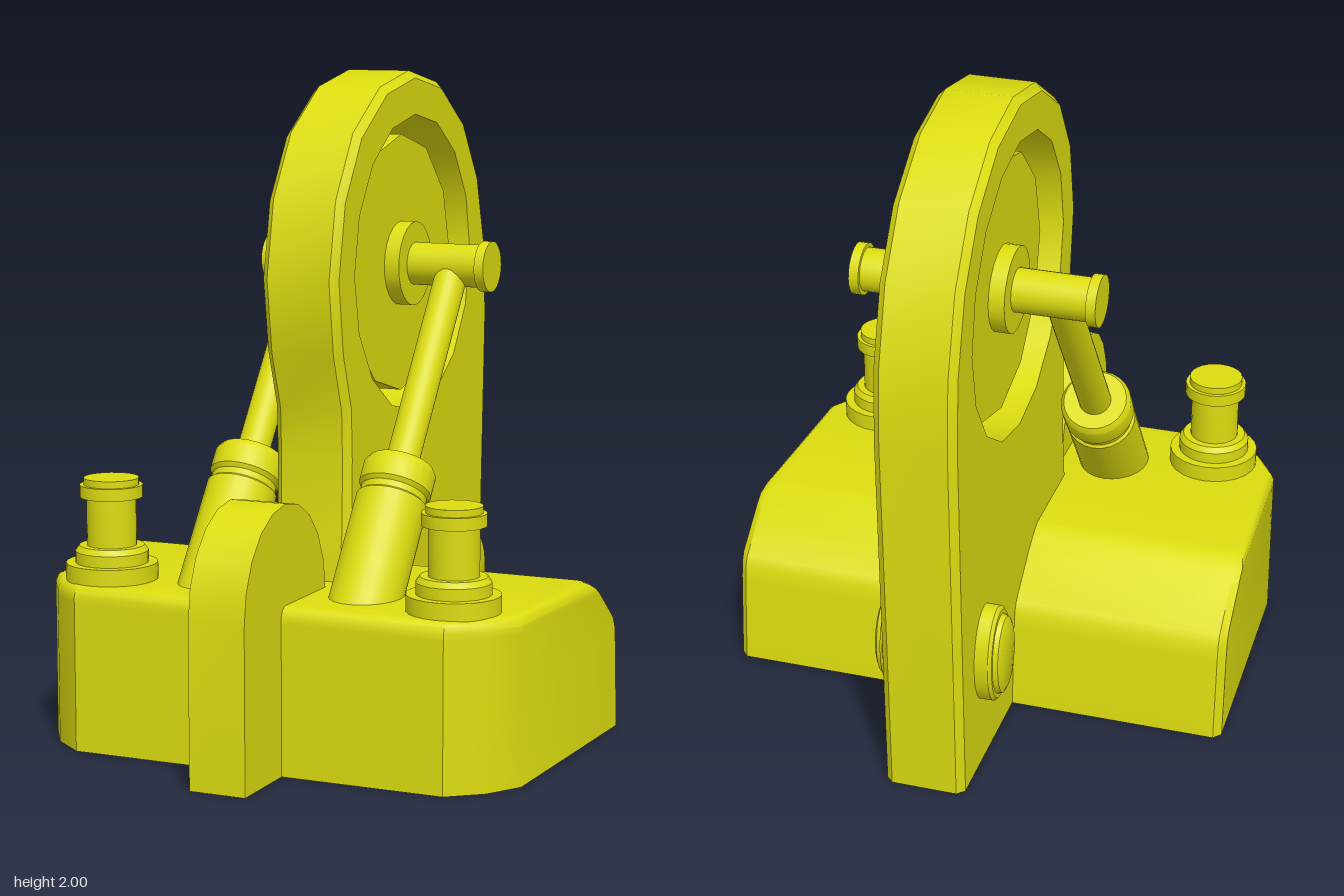
import * as THREE from 'three';
import { mergeGeometries, toCreasedNormals } from 'three/addons/utils/BufferGeometryUtils.js';

const yellow = new THREE.MeshStandardMaterial({ color: 0xdcdc10, side: THREE.DoubleSide });
yellow.name = 'yellow';

function add(parent, name, geometry) {
  const mesh = new THREE.Mesh(geometry, yellow);
  mesh.name = name;
  parent.add(mesh);
  return mesh;
}

// Joins cross-section rings with quads
function loft(rings, closed) {
  const pos = [];
  const n = rings[0].length;
  for (let i = 0; i < rings.length - 1; i++) {
    for (let j = 0; j < (closed ? n : n - 1); j++) {
      const k = (j + 1) % n;
      const a = rings[i][j], b = rings[i][k], c = rings[i + 1][k], d = rings[i + 1][j];
      pos.push(...a, ...b, ...d, ...b, ...c, ...d);
    }
  }
  const g = new THREE.BufferGeometry();
  g.setAttribute('position', new THREE.Float32BufferAttribute(pos, 3));
  return g;
}

const flat = (pts) => pts.map(([a, b]) => new THREE.Vector2(a, b));

function face(points, hole) {
  const shape = new THREE.Shape(flat(points));
  if (hole) shape.holes.push(new THREE.Path(flat(hole)));
  return new THREE.ShapeGeometry(shape);
}

function join(parts, crease = 0.6) {
  const bare = parts.map((p) => {
    const g = p.index ? p.toNonIndexed() : p;
    g.deleteAttribute('normal');
    g.deleteAttribute('uv');
    return g;
  });
  return toCreasedNormals(mergeGeometries(bare), crease);
}

// Moves an open outline of [z, y] points inwards
function inset(pts, d) {
  return pts.map(([z, y], i) => {
    const p = pts[Math.max(i - 1, 0)], q = pts[Math.min(i + 1, pts.length - 1)];
    const dz = q[0] - p[0], dy = q[1] - p[1], l = Math.hypot(dz, dy);
    return [z + (d * dy) / l, y === 0 ? 0 : y - (d * dz) / l];
  });
}

// Upright slab with an open foot, chamfered rim and optional hole
function slab(outline, half, chamfer, hole) {
  const inner = chamfer ? inset(outline, chamfer) : outline;
  const at = (pts, x) => pts.map(([z, y]) => [x, y, z]);
  const rings = [at(inner, -half), at(outline, -half + chamfer),
    at(outline, half - chamfer), at(inner, half)];
  const parts = [loft(chamfer ? rings : [rings[0], rings[3]], false)];
  for (const s of [-1, 1]) {
    const cap = face(inner, hole);
    if (s > 0) cap.index.array.reverse();
    parts.push(cap.rotateY(-Math.PI / 2).translate(s * half, 0, 0));
  }
  if (hole) parts.push(loft([at(hole, -half), at(hole, half)], true));
  return join(parts);
}

// Base footprint ring at height y
function footprint(y, back, d) {
  const right = [[0.59, 0.643 - d], [0.69 - d * 0.7, 0.565 - d * 0.7], [0.757 - d, 0.46],
    [0.782 - d, back + 0.025], [0.76 - d, back]];
  const left = right.map(([x, z]) => [-x, z]).reverse();
  return [...right, ...left].map(([x, z]) => [x, y, z]);
}

function lathe(profile, segments = 24) {
  const g = new THREE.LatheGeometry(flat(profile), segments);
  return toCreasedNormals(g, 0.6);
}

export function createModel() {
  const model = new THREE.Group();
  model.name = 'pistonStand';

  // Base block with sloping back and softened top edge
  const levels = [[0, -0.326, 0], [0.27, -0.306, 0], [0.32, -0.299, 0], [0.35, -0.283, 0],
    [0.45, -0.155, 0], [0.47, -0.122, 0], [0.488, -0.09, 0.008], [0.497, -0.07, 0.018], [0.5, -0.06, 0.03]];
  const rings = levels.map((l) => footprint(...l));
  const lid = face(rings.at(-1).map(([x, , z]) => [x, -z])).rotateX(-Math.PI / 2).translate(0, 0.5, 0);
  add(model, 'base', join([loft(rings, true), lid]));

  // Tall rounded plate with a round opening
  const plate = [[-0.825, 0], [-0.873, 1.18], [-0.862, 1.406], [-0.793, 1.645], [-0.666, 1.83],
    [-0.475, 1.957], [-0.252, 2], [-0.03, 1.957], [0.167, 1.83], [0.29, 1.64], [0.337, 1.406],
    [0.305, 1.183], [0.247, 1.013], [0.241, 0.865], [0.245, 0.65], [0.265, 0.5], [0.265, 0]];
  const hole = [];
  for (let i = 0; i < 16; i++) {
    const a = (i / 16) * Math.PI * 2;
    hole.push([-0.255 + 0.457 * Math.cos(a), 1.41 + 0.457 * Math.sin(a)]);
  }
  add(model, 'plate', slab(plate, 0.122, 0.022, hole));

  // Arched front rib
  const rib = [[0.337, 0]];
  for (let i = 0; i <= 10; i++) {
    const a = Math.PI * (1 - i / 10);
    rib.push([0.61 + 0.273 * Math.cos(a), 0.49 + 0.307 * Math.sin(a)]);
  }
  rib.push([0.883, 0]);
  add(model, 'frontRib', slab(rib, 0.088, 0));

  // Disc, hub and cross pin in the opening
  const wheel = new THREE.Group();
  wheel.name = 'wheel';
  wheel.position.set(0, 1.406, -0.268);
  model.add(wheel);
  const axial = (profile, n) => lathe(profile, n).rotateZ(-Math.PI / 2);
  add(wheel, 'disc', axial([[0, -0.07], [0.398, -0.07], [0.398, 0.07], [0, 0.07]], 12));
  add(wheel, 'hub', axial([[0, -0.118], [0.13, -0.118], [0.13, 0.118], [0, 0.118]]));
  add(wheel, 'crossPin', axial([[0, -0.373], [0.078, -0.373], [0.078, -0.343], [0.066, -0.343],
    [0.066, 0.343], [0.078, 0.343], [0.078, 0.373], [0, 0.373]]));

  for (const s of [-1, 1]) {
    const side = s > 0 ? 'left' : 'right';

    // Slanted piston, running down from the cross pin
    const piston = new THREE.Group();
    piston.name = side + 'Piston';
    piston.position.set(s * 0.247, 1.406, -0.268);
    piston.rotation.x = -0.63;
    model.add(piston);
    add(piston, 'rod', lathe([[0.05, -0.8], [0.05, 0], [0, 0]]));
    add(piston, 'collar', lathe([[0.098, -0.79], [0.11, -0.775], [0.11, -0.71], [0.098, -0.692], [0, -0.692]]));
    add(piston, 'sleeve', lathe([[0, -1.3], [0.108, -1.3], [0.108, -0.815], [0.1, -0.808],
      [0.1, -0.78], [0, -0.78]]));

    // Stepped knob on the base
    const knob = add(model, side + 'Knob', lathe([[0.138, 0.49], [0.138, 0.55], [0.11, 0.55],
      [0.11, 0.585], [0.098, 0.602], [0.075, 0.602], [0.075, 0.748], [0.095, 0.748], [0.095, 0.785],
      [0.083, 0.785], [0.083, 0.806], [0, 0.806]]));
    knob.position.set(s * 0.553, 0, 0.475);

    // Oval bolt near the back of the plate
    const bolt = add(model, side + 'Bolt', lathe([[0.1, 0], [0.1, 0.045], [0.093, 0.055], [0.084, 0.055],
      [0.08, 0.07], [0.068, 0.078], [0, 0.078]]));
    bolt.rotation.z = -s * Math.PI / 2;
    bolt.scale.x = 1.58;
    bolt.position.set(s * 0.118, 0.377, -0.613);
  }
  return model;
}
